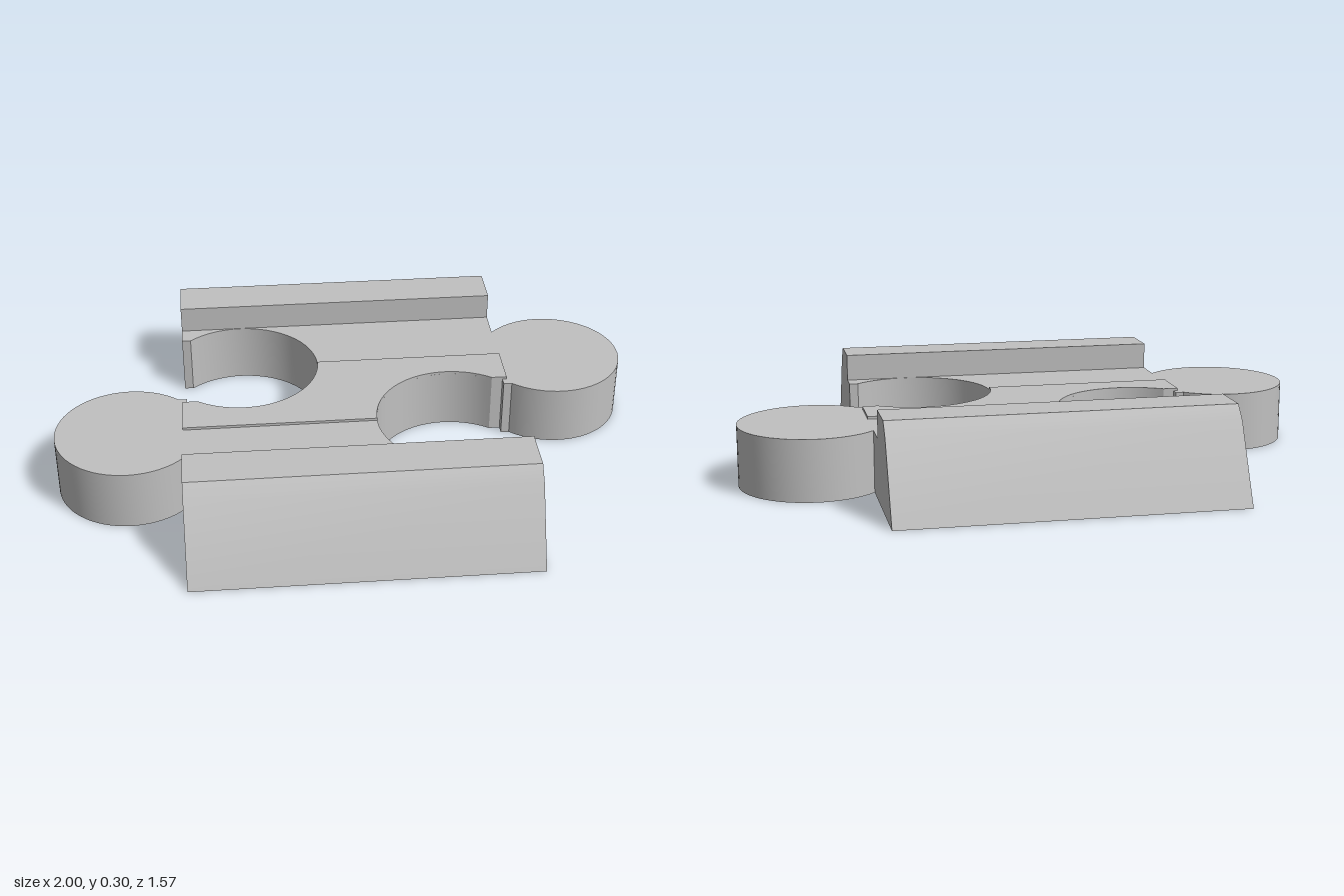
import * as THREE from 'three';
import { toCreasedNormals } from 'three/addons/utils/BufferGeometryUtils.js';

const HALF_LENGTH = 0.57, DECK_TOP = 0.207, RIDGE_TOP = 0.216;
const SOCKET = { x: -0.358, z: -0.188, r: 0.27 };
const KNOB = { x: -0.752, z: 0.182, r: 0.248 };

// Points on a circle in plan, as [x, z]
function arc(c, from, to, steps) {
  return Array.from({ length: steps + 1 }, (_, i) => {
    const a = from + (to - from) * i / steps;
    return [c.x + c.r * Math.cos(a), c.z + c.r * Math.sin(a)];
  });
}

// Complete a half outline by turning it half a revolution, then raise it
function plate(half, bottom, top) {
  const outline = [...half, ...half.map(([x, z]) => [-x, -z])];
  const shape = new THREE.Shape(outline.map(([x, z]) => new THREE.Vector2(x, -z)));
  const geo = new THREE.ExtrudeGeometry(shape, { depth: top - bottom, bevelEnabled: false });
  geo.rotateX(-Math.PI / 2).translate(0, bottom, 0);
  return toCreasedNormals(geo, 0.5);
}

export function createModel() {
  const group = new THREE.Group();
  group.name = 'trackConnector';
  const grey = new THREE.MeshStandardMaterial({ color: 0xc0c0c0 });
  grey.name = 'plain grey';

  function add(name, geo) {
    const mesh = new THREE.Mesh(geo, grey);
    mesh.name = name;
    group.add(mesh);
    return mesh;
  }

  // Deck with a round socket and a round knob at each end
  add('deck', plate([
    [-HALF_LENGTH, -0.46], [-HALF_LENGTH, -0.39],
    ...arc(SOCKET, -2.307, 2.201, 48),
    [-0.555, 0.03], [-0.555, 0],
    ...arc(KNOB, -0.825, -5.537, 48),
    [-HALF_LENGTH, 0.46],
  ], 0, DECK_TOP));

  // Slightly raised strip along the middle, cut by the sockets
  add('centreRidge', plate([
    ...arc(SOCKET, 0, 2.201, 28),
    [-HALF_LENGTH, 0.03], [-HALF_LENGTH, 0.188],
  ], DECK_TOP - 0.005, RIDGE_TOP));

  // Sloped side rails
  const profile = [[0.46, 0], [0.783, 0], [0.655, 0.255], [0.612, 0.3], [0.46, 0.3]];
  const railShape = new THREE.Shape(profile.map(([z, y]) => new THREE.Vector2(z, y)));
  let rail = new THREE.ExtrudeGeometry(railShape, { depth: 2 * HALF_LENGTH, bevelEnabled: false });
  rail.rotateY(-Math.PI / 2).translate(HALF_LENGTH, 0, 0);
  rail = toCreasedNormals(rail, 0.5);
  add('frontRail', rail);
  add('backRail', rail).rotation.y = Math.PI;

  return group;
}
